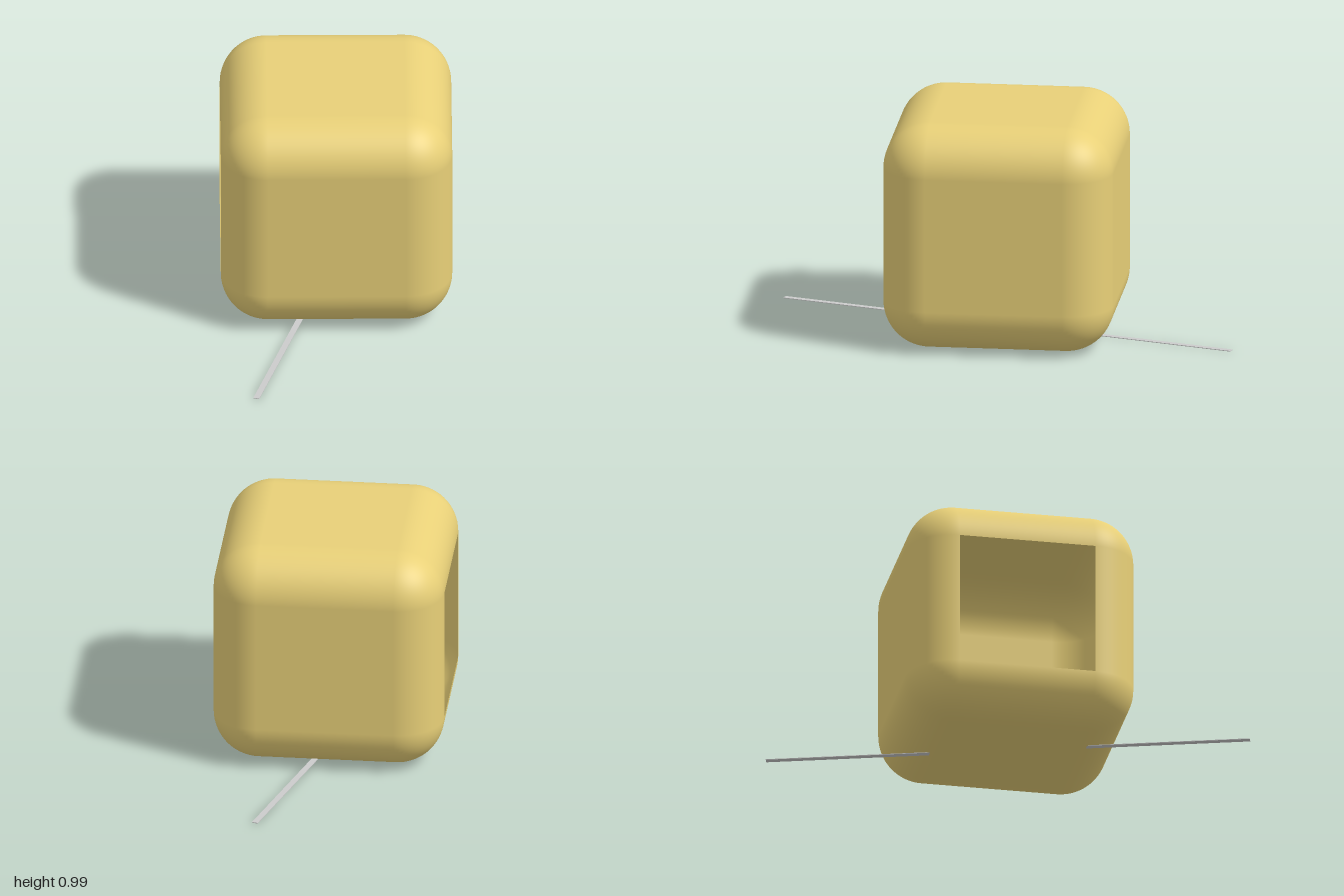
import * as THREE from 'three';
import { RoundedBoxGeometry } from 'three/addons/geometries/RoundedBoxGeometry.js';

const SIZE = 0.99;

// Rounded cube skin with the flat panel of its -x side left out
function openRoundedBox(size, radius, segments) {
  const box = new RoundedBoxGeometry(size, size, size, segments, radius);
  const pos = box.attributes.position, nor = box.attributes.normal;
  const keptPos = [], keptNor = [];
  for (let i = 0; i < pos.count; i += 3) {
    const corners = [i, i + 1, i + 2];
    if (corners.every((k) => pos.getX(k) < -size / 2 + 1e-4)) continue;
    for (const k of corners) {
      keptPos.push(pos.getX(k), pos.getY(k), pos.getZ(k));
      keptNor.push(nor.getX(k), nor.getY(k), nor.getZ(k));
    }
  }
  const open = new THREE.BufferGeometry();
  open.setAttribute('position', new THREE.Float32BufferAttribute(keptPos, 3));
  open.setAttribute('normal', new THREE.Float32BufferAttribute(keptNor, 3));
  return open;
}

export function createModel() {
  const model = new THREE.Group();

  // Hollow cube, open on one side
  const shell = new THREE.Mesh(
    openRoundedBox(SIZE, 0.2, 10),
    new THREE.MeshStandardMaterial({ color: 0xe8d078, side: THREE.DoubleSide })
  );
  shell.name = 'hollowCube';
  shell.position.y = SIZE / 2;
  model.add(shell);

  // Thin flat strip running diagonally through the base
  const strip = new THREE.Mesh(
    new THREE.BoxGeometry(0.026, 0.003, 2.08),
    new THREE.MeshStandardMaterial({ color: 0xcccccc })
  );
  strip.name = 'floorStrip';
  strip.position.set(-0.05, 0.0037, 0);
  strip.rotation.y = -Math.atan2(0.6, 2);
  model.add(strip);

  return model;
}
